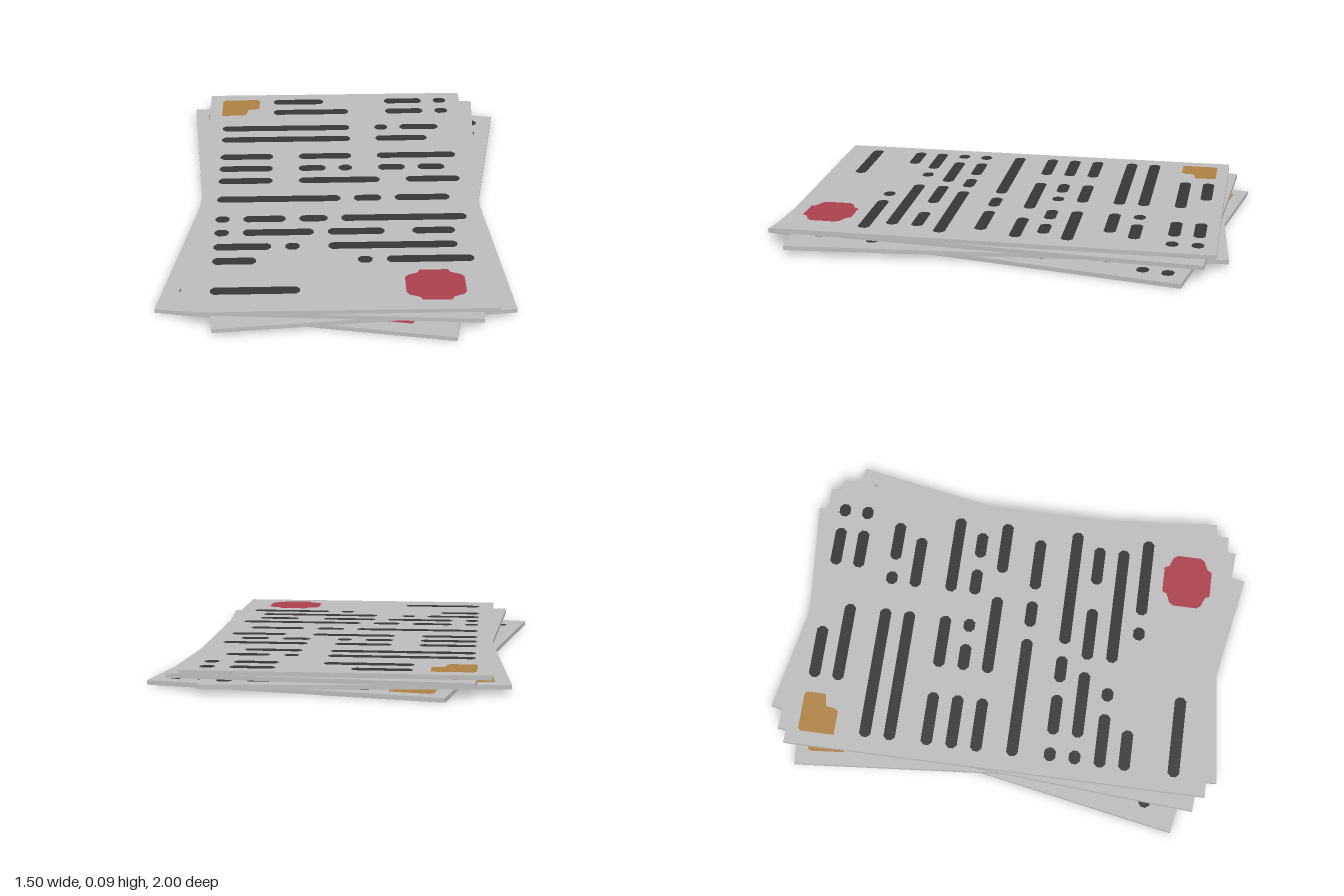
import * as THREE from 'three';

const paper = new THREE.MeshStandardMaterial({ color: 0xbcbcbc, name: 'paper grey' });
const ink = new THREE.MeshStandardMaterial({ color: 0x363636, name: 'ink' });
const wax = new THREE.MeshStandardMaterial({ color: 0xab414d, name: 'seal red' });
const ochre = new THREE.MeshStandardMaterial({ color: 0xad8143, name: 'emblem ochre' });

const WIDTH = 1.217, LENGTH = 1.825, THICK = 0.018, STEP = 0.0233;
const TURNS = [-0.165, 0.104, -0.052, 0.018]; // bottom sheet first
const COLUMN = 0.06, LEFT = -0.54;

// Each row of writing: z position, then start and end columns of its strokes
const ROWS = [
  [-0.834, [4, 8], [13, 16], [17, 18]],
  [-0.73, [4, 10], [13, 16], [17, 18]],
  [-0.57, [0, 10], [12, 13], [14, 17]],
  [-0.463, [0, 10], [12, 16]],
  [-0.301, [0, 4], [6, 10], [12, 18]],
  [-0.193, [0, 4], [6, 8], [9, 10], [12, 14], [15, 17]],
  [-0.085, [0, 4], [6, 12], [14, 18]],
  [0.072, [0, 9], [10, 12], [13, 17]],
  [0.235, [0, 1], [2, 5], [6, 8], [9, 18]],
  [0.342, [0, 1], [2, 7], [8, 12], [14, 17]],
  [0.451, [0, 4], [5, 6], [8, 17]],
  [0.557, [0, 3], [10, 11], [12, 18]],
  [0.77, [0, 6]],
];

// Outline given as x, z pairs on the sheet
const outline = (points) => new THREE.Shape(points.map(([x, z]) => new THREE.Vector2(x, -z)));

// Stroke with chamfered ends
function stroke(z, [from, to]) {
  const a = LEFT + from * COLUMN, b = LEFT + to * COLUMN, h = 0.025, c = 0.015;
  return outline([
    [a, z - h + c], [a + c, z - h], [b - c, z - h], [b, z - h + c],
    [b, z + h - c], [b - c, z + h], [a + c, z + h], [a, z + h - c],
  ]);
}

// Four-lobed seal, mirrored from one quarter
function sealShape() {
  const quarter = [[0.058, 0.106], [0.068, 0.086], [0.108, 0.07], [0.121, 0.052]];
  const back = [...quarter].reverse();
  const points = [
    ...quarter, ...back.map(([x, z]) => [x, -z]),
    ...quarter.map(([x, z]) => [-x, -z]), ...back.map(([x, z]) => [-x, z]),
  ];
  return outline(points.map(([x, z]) => [x + 0.366, z + 0.745]));
}

const emblemShape = () => outline([
  [-0.549, -0.848], [-0.538, -0.86], [-0.38, -0.86], [-0.37, -0.85], [-0.37, -0.768],
  [-0.425, -0.758], [-0.43, -0.718], [-0.442, -0.702], [-0.549, -0.702],
]);

// Flat painted marking lying just above the sheet
function marking(name, shapes, material) {
  const geometry = new THREE.ShapeGeometry(shapes).rotateX(-Math.PI / 2);
  const mesh = new THREE.Mesh(geometry, material);
  mesh.name = name;
  mesh.position.y = THICK + 0.001;
  return mesh;
}

function createSheet() {
  const sheet = new THREE.Group();
  const page = new THREE.Mesh(new THREE.BoxGeometry(WIDTH, THICK, LENGTH), paper);
  page.name = 'page';
  page.position.y = THICK / 2;
  const strokes = ROWS.flatMap(([z, ...spans]) => spans.map((span) => stroke(z, span)));
  sheet.add(
    page,
    marking('writing', strokes, ink),
    marking('seal', sealShape(), wax),
    marking('emblem', emblemShape(), ochre),
  );
  return sheet;
}

export function createModel() {
  const model = new THREE.Group();
  model.name = 'paperStack';
  TURNS.forEach((turn, i) => {
    const sheet = createSheet();
    sheet.name = `sheet${i + 1}`;
    sheet.position.y = i * STEP;
    sheet.rotation.y = turn;
    model.add(sheet);
  });
  return model;
}
